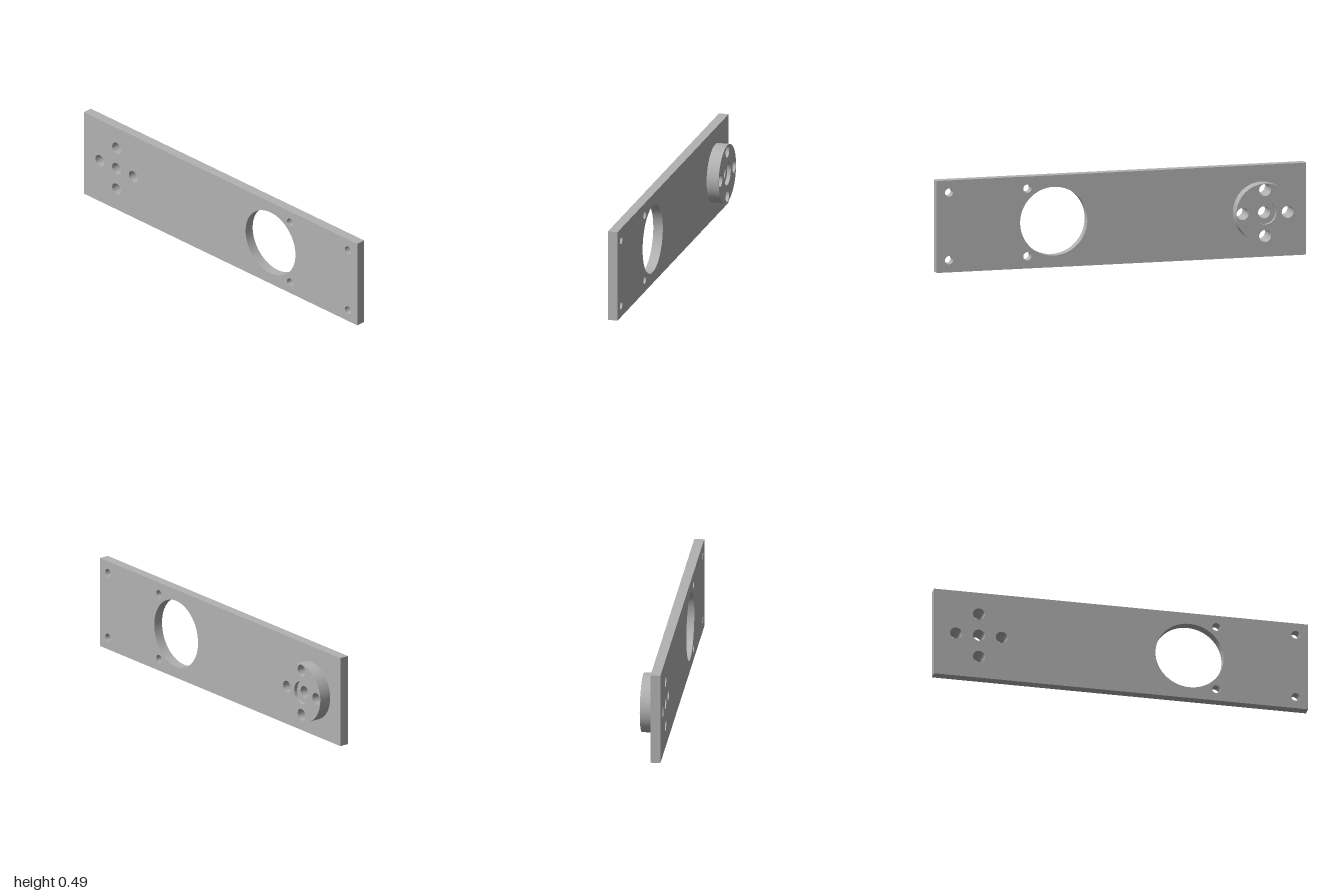
import * as THREE from 'three';
import { toCreasedNormals } from 'three/addons/utils/BufferGeometryUtils.js';

const HEIGHT = 0.487, MID = HEIGHT / 2;
const BACK = -0.059, PLATE_BACK = 0.007, FRONT = 0.059;
const HUB_X = -0.76, BOLT_R = 0.032, BOLT_OFFSET = 0.122;
const RECESS_DEPTH = 0.02;

// Cut a round hole [x, y, radius] into a shape
function addHoles(shape, holes) {
  for (const [x, y, r] of holes) {
    const path = new THREE.Path();
    path.absarc(x, y, r, 0, Math.PI * 2, true);
    shape.holes.push(path);
  }
  return shape;
}

// Extrude a shape between two z positions, smooth round walls and sharp edges
function slab(name, shape, z0, z1, material) {
  const geometry = new THREE.ExtrudeGeometry(shape, {
    depth: z1 - z0, bevelEnabled: false, curveSegments: 48,
  });
  geometry.translate(0, 0, z0);
  const mesh = new THREE.Mesh(toCreasedNormals(geometry, Math.PI / 6), material);
  mesh.name = name;
  return mesh;
}

function disc(x, y, r) {
  const shape = new THREE.Shape();
  shape.absarc(x, y, r, 0, Math.PI * 2, false);
  return shape;
}

export function createModel() {
  const group = new THREE.Group();
  group.name = 'mountingPlate';
  const metal = new THREE.MeshStandardMaterial({ color: 0xb2b2b2 });
  metal.name = 'grey metal';

  // Cross of bolt holes around the hub centre
  const bolts = [[1, 0], [-1, 0], [0, 1], [0, -1]].map(
    ([dx, dy]) => [HUB_X + dx * BOLT_OFFSET, MID + dy * BOLT_OFFSET, BOLT_R]);
  const centre = [HUB_X, MID, BOLT_R];

  // Four corner screw holes at the motor end
  const screws = [];
  for (const x of [0.509, 0.933])
    for (const side of [-1, 1]) screws.push([x, MID + side * 0.179, 0.022]);

  // Flat plate with the large round opening
  const outline = new THREE.Shape([
    new THREE.Vector2(-1, 0), new THREE.Vector2(1, 0),
    new THREE.Vector2(1, HEIGHT), new THREE.Vector2(-1, HEIGHT),
  ]);
  addHoles(outline, [...bolts, centre, ...screws, [0.366, MID, 0.182]]);
  group.add(slab('plate', outline, PLATE_BACK, FRONT, metal));

  // Round boss on the back, with a shallow recess around its centre hole
  const floor = BACK + RECESS_DEPTH;
  const base = addHoles(disc(HUB_X, MID, 0.156), [...bolts, centre]);
  group.add(slab('bossBase', base, floor, PLATE_BACK, metal));
  const rim = addHoles(disc(HUB_X, MID, 0.156), [...bolts, [HUB_X, MID, 0.061]]);
  group.add(slab('bossRim', rim, BACK, floor, metal));

  return group;
}
